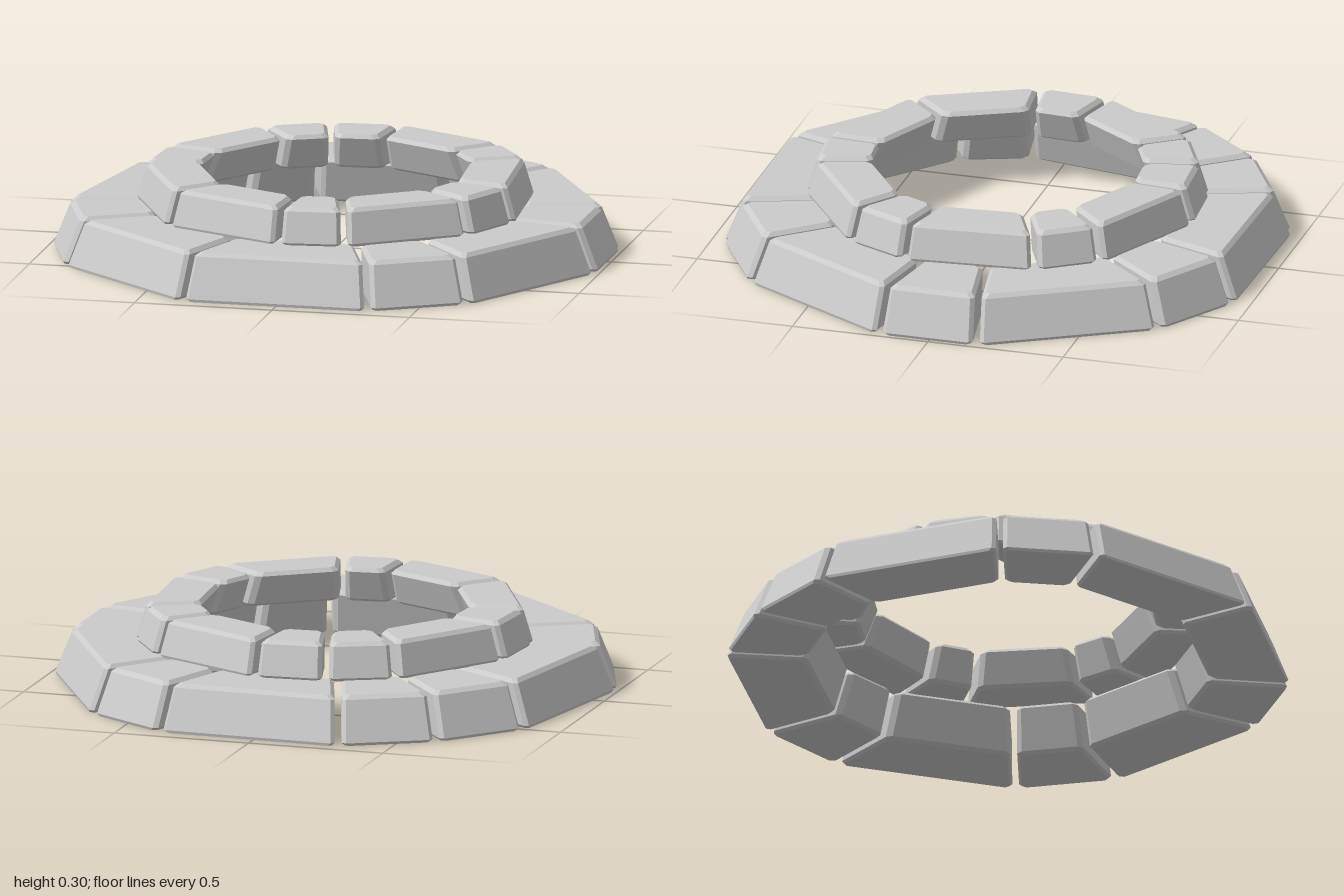
import * as THREE from 'three';

const GAP = 0.024, CUT = 0.016;

// Plan of one block at a given height: a ring segment with straight edges,
// pulled in by `inset` and with its four corners cut off (8 points).
function blockLoop(a0, a1, rIn, rOut, y, inset) {
  const side = GAP / 2 + inset;
  const at = (r, a, s) => {
    const t = a + s * Math.asin(side / r);
    return new THREE.Vector3(r * Math.cos(t), y, r * Math.sin(t));
  };
  const ri = rIn + inset, ro = rOut - inset;
  const q = [at(ri, a0, 1), at(ro, a0, 1), at(ro, a1, -1), at(ri, a1, -1)];
  const loop = [];
  q.forEach((p, i) => {
    for (const n of [q[(i + 3) % 4], q[(i + 1) % 4]]) {
      loop.push(p.clone().addScaledVector(n.clone().sub(p).normalize(), CUT));
    }
  });
  return loop;
}

// Stone block with leaning walls and chamfered edges, lofted through four loops
function blockGeometry(a0, a1, t) {
  const levels = [[0, 0.01], [0.01, 0], [t.height - 0.014, 0], [t.height, 0.014]];
  const loops = levels.map(([h, inset]) => {
    const k = h / t.height;
    return blockLoop(a0, a1, THREE.MathUtils.lerp(t.inner[0], t.inner[1], k),
      THREE.MathUtils.lerp(t.outer[0], t.outer[1], k), t.y + h, inset);
  });
  const pos = [], index = [], n = 8;
  loops.flat().forEach(p => pos.push(p.x, p.y, p.z));
  for (let k = 0; k < loops.length - 1; k++) {
    for (let i = 0; i < n; i++) {
      const a = k * n + i, b = k * n + (i + 1) % n;
      index.push(b, a, a + n, b, a + n, b + n);
    }
  }
  const top = (loops.length - 1) * n;
  for (let i = 1; i < n - 1; i++) {
    index.push(0, i, i + 1, top, top + i + 1, top + i);
  }
  const g = new THREE.BufferGeometry();
  g.setAttribute('position', new THREE.Float32BufferAttribute(pos, 3));
  g.setIndex(index);
  const flat = g.toNonIndexed();
  flat.computeVertexNormals();
  return flat;
}

// Radii run from the bottom to the top of a tier; joints are in degrees
const TIERS = [
  {
    name: 'lowerRing', y: 0, height: 0.168, outer: [1.008, 0.94], inner: [0.72, 0.66],
    joints: [10.8, 49.2, 70.4, 110.1, 150, 170.3, 210.3, 231, 251.5, 290.8, 311.2, 350],
  },
  {
    name: 'upperRing', y: 0.166, height: 0.132, outer: [0.715, 0.675], inner: [0.53, 0.475],
    joints: [15, 35.5, 74.5, 94, 134, 173.5, 195.2, 234.4, 255, 276.3, 315.8, 335.7],
  },
];

export function createModel() {
  const model = new THREE.Group();
  model.name = 'stoneRing';
  const stone = new THREE.MeshStandardMaterial({ color: 0xcccccc, flatShading: true });
  for (const tier of TIERS) {
    const ring = new THREE.Group();
    ring.name = tier.name;
    tier.joints.forEach((start, i) => {
      const end = tier.joints[i + 1] ?? tier.joints[0] + 360;
      const rad = THREE.MathUtils.degToRad;
      const block = new THREE.Mesh(blockGeometry(rad(start), rad(end), tier), stone);
      block.name = 'stoneBlock' + (i + 1);
      ring.add(block);
    });
    model.add(ring);
  }
  return model;
}
